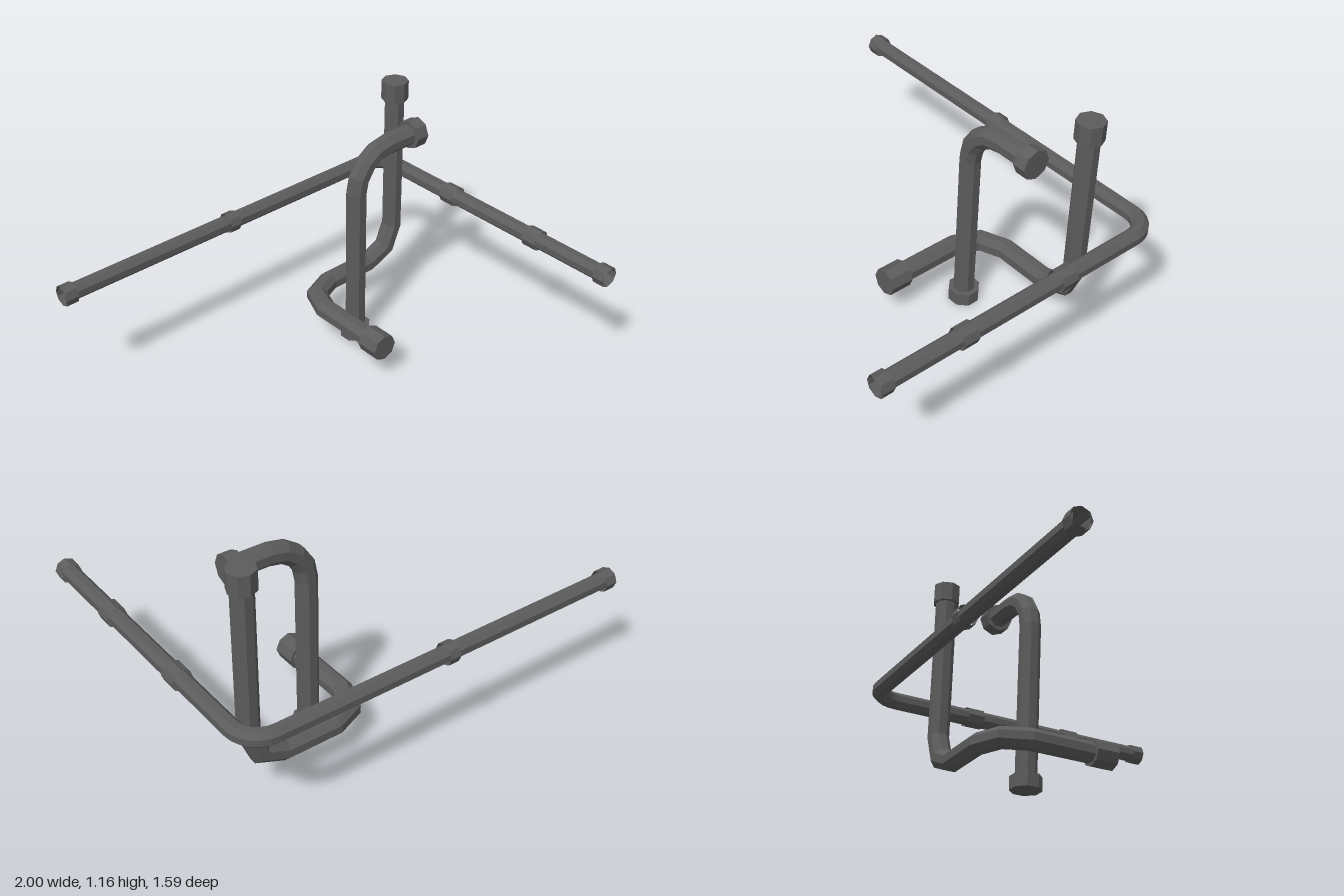
import * as THREE from 'three';

const SIDES = 8;
const V = (x, y, z) => new THREE.Vector3(x, y, z);

// Replace each inner corner of a path by an arc of the given radius
function roundPath(corners, radius, steps) {
  const path = [corners[0]];
  for (let i = 1; i < corners.length - 1; i++) {
    const c = corners[i];
    const back = corners[i - 1].clone().sub(c).normalize().multiplyScalar(radius);
    const ahead = corners[i + 1].clone().sub(c).normalize().multiplyScalar(radius);
    const centre = c.clone().add(back).add(ahead);
    for (let s = 0; s <= steps; s++) {
      const a = (s / steps) * Math.PI / 2;
      path.push(centre.clone().addScaledVector(ahead, -Math.cos(a)).addScaledVector(back, -Math.sin(a)));
    }
  }
  path.push(corners[corners.length - 1]);
  return path;
}

// Eight-sided tube with mitred joints: each ring slides along its segment to the next joint plane
function pipeGeometry(path, radius) {
  const dirs = path.slice(1).map((p, i) => p.clone().sub(path[i]).normalize());
  const u = Math.abs(dirs[0].y) > 0.9 ? V(1, 0, 0) : V(0, 1, 0);
  const w = dirs[0].clone().cross(u);
  let ring = [];
  for (let k = 0; k < SIDES; k++) {
    const a = ((k + 0.5) / SIDES) * Math.PI * 2;
    ring.push(path[0].clone().addScaledVector(u, radius * Math.cos(a)).addScaledVector(w, radius * Math.sin(a)));
  }
  const pos = [];
  for (let i = 1; i < path.length; i++) {
    const d = dirs[i - 1];
    const n = d.clone().add(dirs[i] || d).normalize();
    const next = ring.map((p) => p.clone().addScaledVector(d, path[i].clone().sub(p).dot(n) / d.dot(n)));
    for (let k = 0; k < SIDES; k++) {
      const m = (k + 1) % SIDES;
      for (const p of [ring[k], ring[m], next[m], ring[k], next[m], next[k]]) pos.push(p.x, p.y, p.z);
    }
    ring = next;
  }
  const g = new THREE.BufferGeometry();
  g.setAttribute('position', new THREE.Float32BufferAttribute(pos, 3));
  g.computeVertexNormals();
  return g;
}

export function createModel() {
  const model = new THREE.Group();
  const metal = new THREE.MeshStandardMaterial({ color: 0x5c5c5c, flatShading: true, side: THREE.DoubleSide });
  metal.name = 'dark grey metal';

  const addPipe = (name, corners, radius, bend, steps) => {
    const group = new THREE.Group();
    group.name = name;
    const tube = new THREE.Mesh(pipeGeometry(roundPath(corners, bend, steps), radius), metal);
    tube.name = name + 'Tube';
    group.add(tube);
    model.add(group);
    return group;
  };

  // Octagonal sleeve between two points
  const addCollar = (group, name, from, to, radius, open = false, turn = 0) => {
    const axis = to.clone().sub(from);
    const g = new THREE.CylinderGeometry(radius, radius, axis.length(), SIDES, 1, open);
    g.rotateY(turn);
    const mesh = new THREE.Mesh(g, metal);
    mesh.quaternion.setFromUnitVectors(V(0, 1, 0), axis.normalize());
    mesh.position.copy(from).add(to).multiplyScalar(0.5);
    mesh.name = name;
    group.add(mesh);
  };

  // Long thin pipe lying level, with open ends
  const y = 0.572, zb = -0.745, xr = 0.945;
  const long = addPipe('longPipe', [V(-1, y, zb), V(xr, y, zb), V(xr, y, 0.79)], 0.041, 0.12, 6);
  for (const [a, b] of [[-1, -0.94], [-0.075, -0.02]]) {
    addCollar(long, 'longPipeCollar', V(a, y, zb), V(b, y, zb), 0.051, true);
  }
  for (const [a, b] of [[-0.25, -0.165], [0.3, 0.38], [0.73, 0.79]]) {
    addCollar(long, 'longPipeCollar', V(xr, y, a), V(xr, y, b), 0.051, true);
  }

  // Upright pipe bending over at the top
  const hook = addPipe('hookPipe', [V(0.315, 0.01, -0.235), V(0.315, 1.005, -0.235), V(0.7, 1.005, -0.235)], 0.051, 0.19, 4);
  addCollar(hook, 'hookPipeFoot', V(0.315, 0, -0.235), V(0.315, 0.065, -0.235), 0.075, false, Math.PI / 8);
  addCollar(hook, 'hookPipeEnd', V(0.645, 1.005, -0.235), V(0.71, 1.005, -0.235), 0.071);

  // Pipe with two bends, from the top down, across and forward
  const swan = addPipe('doubleBendPipe',
    [V(0.775, 1.15, -0.465), V(0.775, 0.185, -0.465), V(0.17, 0.185, -0.465), V(0.17, 0.185, 0.12)], 0.051, 0.17, 2);
  addCollar(swan, 'doubleBendPipeTop', V(0.775, 1.07, -0.465), V(0.775, 1.165, -0.465), 0.066);
  addCollar(swan, 'doubleBendPipeEnd', V(0.17, 0.185, 0.015), V(0.17, 0.185, 0.13), 0.066);

  return model;
}
